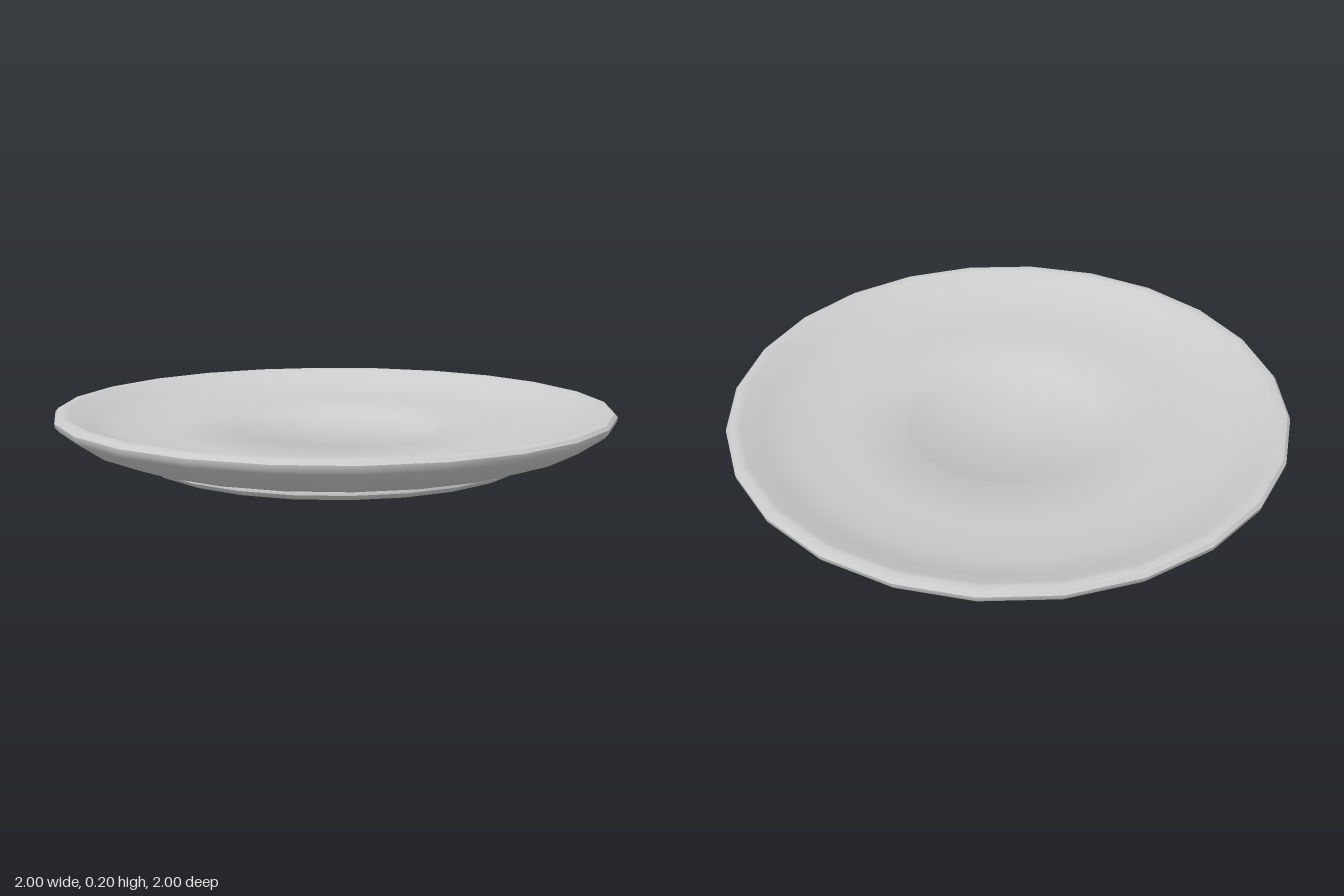
import * as THREE from 'three';
import { toCreasedNormals } from 'three/addons/utils/BufferGeometryUtils.js';

const SIDES = 24;

export function createModel() {
  const group = new THREE.Group();
  group.name = 'saucer';
  const material = new THREE.MeshStandardMaterial({ color: 0xcccccc });

  // Revolve a [radius, height] profile, running from the underside to the top
  const turn = (name, profile) => {
    const points = profile.map(([r, y]) => new THREE.Vector2(r, y));
    const geometry = toCreasedNormals(new THREE.LatheGeometry(points, SIDES), Math.PI / 5);
    const mesh = new THREE.Mesh(geometry, material);
    mesh.name = name;
    group.add(mesh);
  };

  turn('plate', [
    // underside within the foot ring
    [0, 0.045], [0.62, 0.045],
    // rounded foot ring
    [0.625, 0.02], [0.635, 0.007], [0.65, 0], [0.67, 0], [0.688, 0.007],
    [0.698, 0.02], [0.698, 0.032], [0.69, 0.045],
    // curved outer wall
    [0.8, 0.056], [0.9, 0.092], [0.985, 0.15],
    // rounded rim
    [0.998, 0.165], [1, 0.18], [0.99, 0.192], [0.97, 0.197], [0.95, 0.193],
    // dished upper face
    [0.88, 0.158], [0.78, 0.129], [0.6, 0.116], [0.375, 0.112],
    // recessed cup well
    [0.355, 0.098], [0, 0.098],
  ]);

  return group;
}
